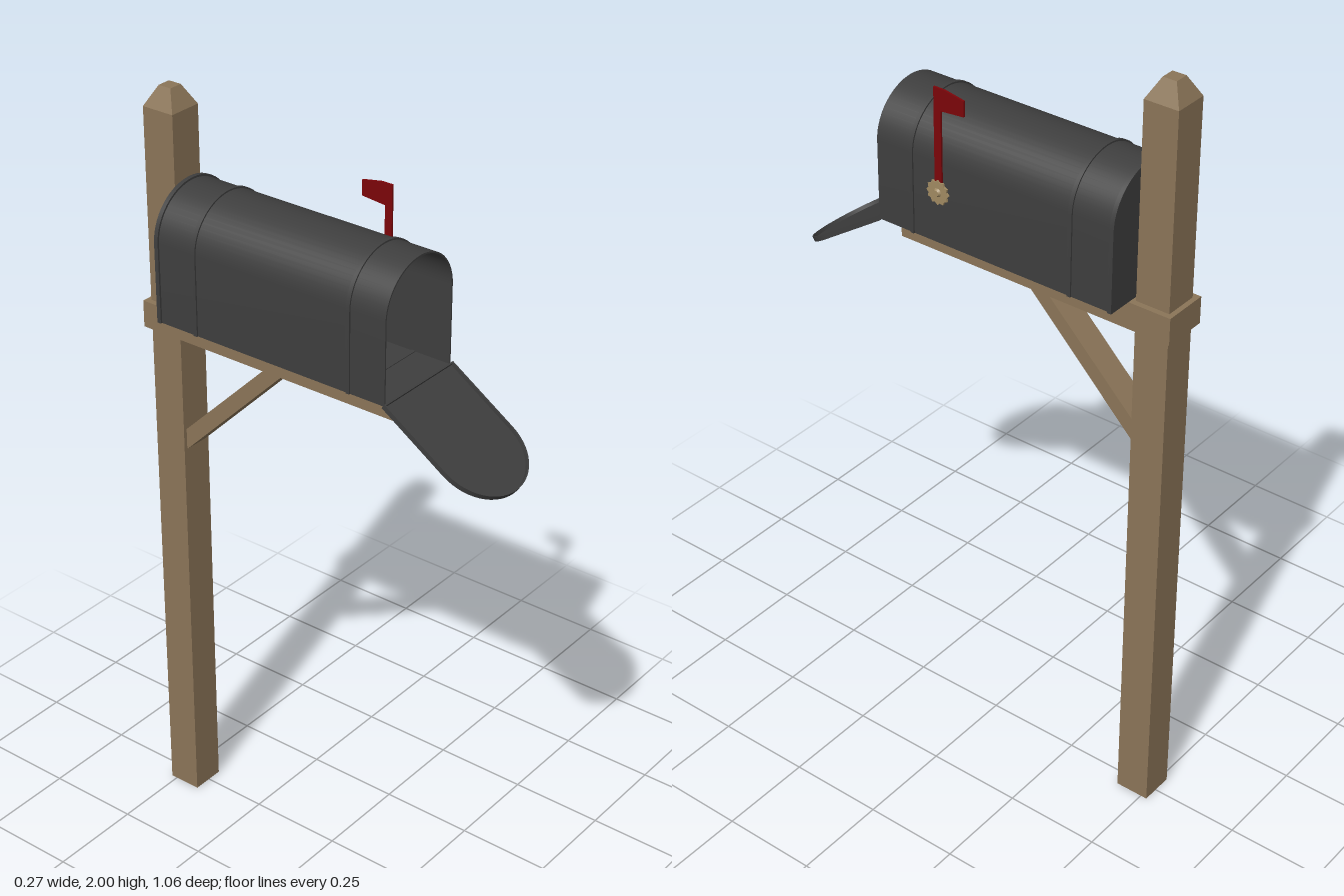
import * as THREE from 'three';
import { toCreasedNormals } from 'three/addons/utils/BufferGeometryUtils.js';

const CX = -0.004;   // centre line of post and box
const FLOOR = 1.455; // underside of the box

// Flat-bottomed arch outline, standing on y = y0
function archPoints(halfW, height, y0 = 0) {
  const rise = halfW * 0.95, spring = y0 + height - rise;
  const pts = [new THREE.Vector2(-halfW, y0), new THREE.Vector2(halfW, y0)];
  for (let i = 0; i <= 28; i++) {
    const a = (i / 28) * Math.PI;
    pts.push(new THREE.Vector2(halfW * Math.cos(a), spring + rise * Math.sin(a)));
  }
  return pts;
}

// Arch slab between z0 and z1; a wall thickness makes it a hollow frame
function archGeometry(halfW, height, z0, z1, wall = 0) {
  const shape = new THREE.Shape(archPoints(halfW, height));
  if (wall) shape.holes.push(new THREE.Path(archPoints(halfW - wall, height - 2 * wall, wall)));
  const geo = new THREE.ExtrudeGeometry(shape, { depth: z1 - z0, bevelEnabled: false });
  geo.translate(0, 0, z0);
  return toCreasedNormals(geo, 0.5);
}

export function createModel() {
  const model = new THREE.Group();
  model.name = 'mailbox';
  const material = (name, color) => {
    const m = new THREE.MeshStandardMaterial({ color });
    m.name = name;
    return m;
  };
  const wood = material('wood', 0x8b7558);
  const metal = material('dark metal', 0x3e3e3e);
  const red = material('flag red', 0x7c0509);
  const brass = material('brass', 0xa08a62);

  const add = (name, geo, mat, x = 0, y = 0, z = 0, parent = model) => {
    const mesh = new THREE.Mesh(geo, mat);
    mesh.name = name;
    mesh.position.set(x, y, z);
    parent.add(mesh);
    return mesh;
  };

  // Post with a truncated pyramid top
  const postZ = -0.472;
  add('post', new THREE.BoxGeometry(0.09, 1.95, 0.09), wood, CX, 0.975, postZ);
  const cap = new THREE.CylinderGeometry(0.018 * Math.SQRT2, 0.045 * Math.SQRT2, 0.05, 4, 1);
  cap.rotateY(Math.PI / 4);
  add('postCap', toCreasedNormals(cap, 0.3), wood, CX, 1.975, postZ);

  // Support beam running around the post
  add('beam', new THREE.BoxGeometry(0.12, 0.07, 0.77), wood, CX, 1.416, -0.145);

  // Diagonal brace, profile drawn in (z, y)
  const braceShape = new THREE.Shape([
    [-0.103, 1.385], [-0.157, 1.385], [-0.428, 1.117], [-0.428, 1.06],
  ].map(([z, y]) => new THREE.Vector2(-z, y)));
  const brace = new THREE.ExtrudeGeometry(braceShape, { depth: 0.07, bevelEnabled: false });
  brace.translate(0, 0, -0.035);
  brace.rotateY(Math.PI / 2);
  add('brace', brace, wood, CX);

  // Hollow box, open at the front
  const box = new THREE.Group();
  box.name = 'box';
  box.position.set(CX, FLOOR, 0);
  model.add(box);
  add('shell', archGeometry(0.126, 0.326, -0.412, 0.25, 0.004), metal, 0, 0, 0, box);
  add('backPanel', archGeometry(0.131, 0.331, -0.421, -0.41), metal, 0, 0, 0, box);
  for (const z of [0.148, -0.303]) {
    add('band', archGeometry(0.13, 0.33, z - 0.005, z + 0.005, 0.006), metal, 0, 0, 0, box);
  }

  // Open door, hinged at the floor, with a raised rim on its inner side
  const door = new THREE.Group();
  door.name = 'door';
  door.position.set(CX, 1.453, 0.246);
  door.rotation.x = 2.153;
  model.add(door);
  add('doorPlate', archGeometry(0.131, 0.33, -0.004, 0), metal, 0, 0, 0, door);
  add('doorRim', archGeometry(0.1312, 0.3302, -0.013, 0.0002, 0.004), metal, 0, 0, 0, door);

  // Raised flag on the left side of the box, profile drawn in (-z, y)
  const flagShape = new THREE.Shape([
    [-0.076, 1.59], [-0.056, 1.59], [-0.056, 1.80], [0.01, 1.806],
    [0.01, 1.845], [-0.045, 1.855], [-0.076, 1.855],
  ].map(([u, y]) => new THREE.Vector2(u, y)));
  const flag = new THREE.ExtrudeGeometry(flagShape, { depth: 0.005, bevelEnabled: false });
  flag.rotateY(Math.PI / 2);
  add('flag', flag, red, 0.1225);

  // Scalloped pivot knob
  const knobShape = new THREE.Shape();
  for (let i = 0; i < 24; i++) {
    const r = i % 2 ? 0.027 : 0.032, a = (i / 24) * Math.PI * 2;
    knobShape[i ? 'lineTo' : 'moveTo'](r * Math.cos(a), r * Math.sin(a));
  }
  const knob = new THREE.ExtrudeGeometry(knobShape, { depth: 0.005, bevelEnabled: false });
  knob.rotateY(Math.PI / 2);
  add('knob', knob, brass, 0.126, 1.592, 0.066);
  const hub = new THREE.CylinderGeometry(0.007, 0.012, 0.006, 12);
  hub.rotateZ(-Math.PI / 2);
  add('knobHub', hub, brass, 0.133, 1.592, 0.066);

  return model;
}
